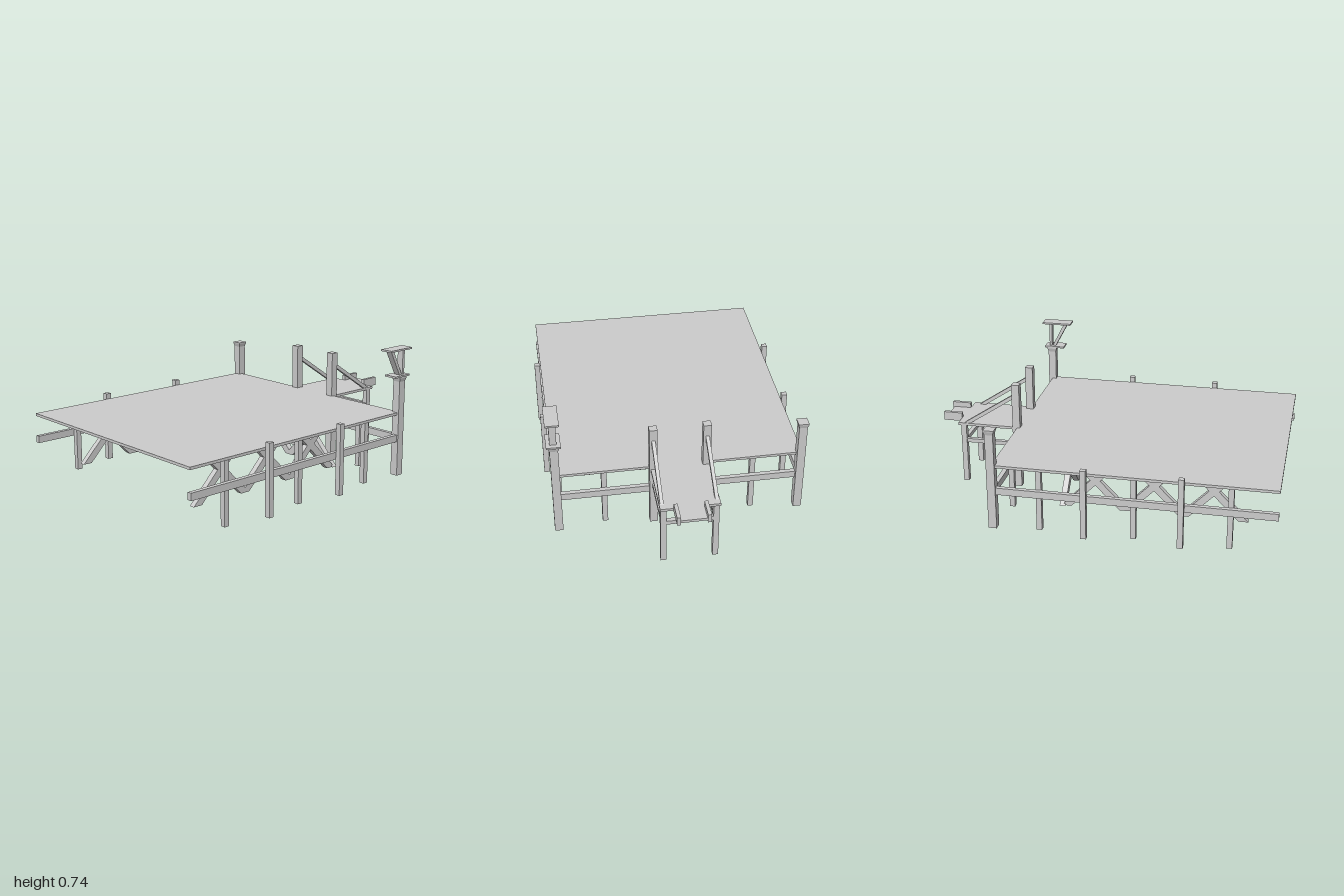
import * as THREE from 'three';

export function createModel() {
  const model = new THREE.Group();
  model.name = 'pier';
  const wood = new THREE.MeshStandardMaterial({ color: 0xcccccc });
  wood.name = 'pale grey';

  const add = (name, geometry, parent = model) => {
    const mesh = new THREE.Mesh(geometry, wood);
    mesh.name = name;
    parent.add(mesh);
    return mesh;
  };

  // Box given by its extents on each axis
  const box = (name, x0, x1, y0, y1, z0, z1) => {
    const mesh = add(name, new THREE.BoxGeometry(x1 - x0, y1 - y0, z1 - z0));
    mesh.position.set((x0 + x1) / 2, (y0 + y1) / 2, (z0 + z1) / 2);
    return mesh;
  };
  const post = (name, x, z, width, height) =>
    box(name, x - width / 2, x + width / 2, 0, height, z - width / 2, z + width / 2);

  // Flat outline extruded about its own plane
  const plate = (points, depth) => {
    const shape = new THREE.Shape(points.map(([x, y]) => new THREE.Vector2(x, y)));
    return new THREE.ExtrudeGeometry(shape, { depth, bevelEnabled: false }).translate(0, 0, -depth / 2);
  };

  // Outline drawn in (z, y), extruded along x
  const sidePlate = (name, points, x, width) => {
    const geometry = plate(points.map(([z, y]) => [-z, y]), width).rotateY(Math.PI / 2);
    const mesh = add(name, geometry);
    mesh.position.x = x;
    return mesh;
  };

  // Decking: main floor, rear landing and narrow end
  box('mainDeck', -0.68, 0.68, 0.355, 0.37, -0.535, 1);
  box('landing', -0.16, 0.16, 0.355, 0.37, -0.89, -0.535);
  box('landingEnd', -0.07, 0.07, 0.355, 0.37, -0.99, -0.89);

  // Horizontal beam along the back
  box('backBeam', -0.66, 0.66, 0.2, 0.24, -0.54, -0.515);

  for (const s of [-1, 1]) {
    // Side beam with posts inside and outside it
    const beam = box('sideBeam', 0.66, 0.685, 0.2, 0.24, -0.53, 1);
    beam.position.x *= s;
    for (const z of [0.75, 0.235, -0.28]) post('innerPost', s * 0.646, z, 0.03, 0.356);
    for (const z of [0.495, -0.025]) post('outerPost', s * 0.7, z, 0.031, 0.4);

    // Back posts and the tall gate posts
    post('backPost', s * 0.41, -0.5, 0.03, 0.356);
    post('gatePost', s * 0.145, -0.54, 0.044, 0.63);

    // Corner post with a flared head
    post('cornerPost', s * 0.67, -0.534, 0.046, 0.55);
    const head = new THREE.CylinderGeometry(0.029 * Math.SQRT2, 0.023 * Math.SQRT2, 0.02, 4)
      .rotateY(Math.PI / 4).toNonIndexed();
    head.computeVertexNormals();
    add('cornerHead', head).position.set(s * 0.67, 0.56, -0.534);
    box('cornerCap', s * 0.67 - 0.029, s * 0.67 + 0.029, 0.57, 0.577, -0.563, -0.505);

    // Landing supports, handrail and end blocks
    post('landingPost', s * 0.14, -0.86, 0.031, 0.356);
    box('landingBeam', s * 0.14 - 0.012, s * 0.14 + 0.012, 0.247, 0.27, -0.85, -0.55);
    sidePlate('handrail', [[-0.55, 0.57], [-0.55, 0.545], [-0.82, 0.368], [-0.858, 0.368]], s * 0.145, 0.02);
    box('endBlock', s * 0.08 - 0.01, s * 0.08 + 0.01, 0.35, 0.4, -1, -0.89);
  }
  box('landingCrossBeam', -0.13, 0.13, 0.247, 0.27, -0.872, -0.848);

  // Row of three crossed braces with level-cut ends
  const braceRow = () => {
    const row = new THREE.Group();
    row.name = 'crossBraces';
    const w = 0.027, run = 0.272;
    for (const start of [-0.485, -0.16, 0.163]) {
      const points = [[start - w, 0.08], [start + w, 0.08], [start + run + w, 0.358], [start + run - w, 0.358]];
      add('risingBrace', plate(points, 0.032), row);
      add('fallingBrace', plate(points.map(([x, y]) => [-x, y]).reverse(), 0.032), row);
    }
    model.add(row);
    return row;
  };
  braceRow().position.z = -0.187;
  for (const s of [-1, 1]) {
    const row = braceRow();
    row.rotation.y = Math.PI / 2;
    row.position.set(s * 0.486, 0, 0.32);
  }

  // Lookout stand on the left rear corner post
  box('standShelf', 0.632, 0.71, 0.58, 0.59, -0.575, -0.455);
  box('standUpright', 0.653, 0.69, 0.59, 0.732, -0.55, -0.534);
  sidePlate('standStrut', [[-0.51, 0.59], [-0.53, 0.59], [-0.457, 0.732], [-0.434, 0.732]], 0.6715, 0.037);
  box('standTop', 0.635, 0.71, 0.731, 0.741, -0.588, -0.412);

  return model;
}
